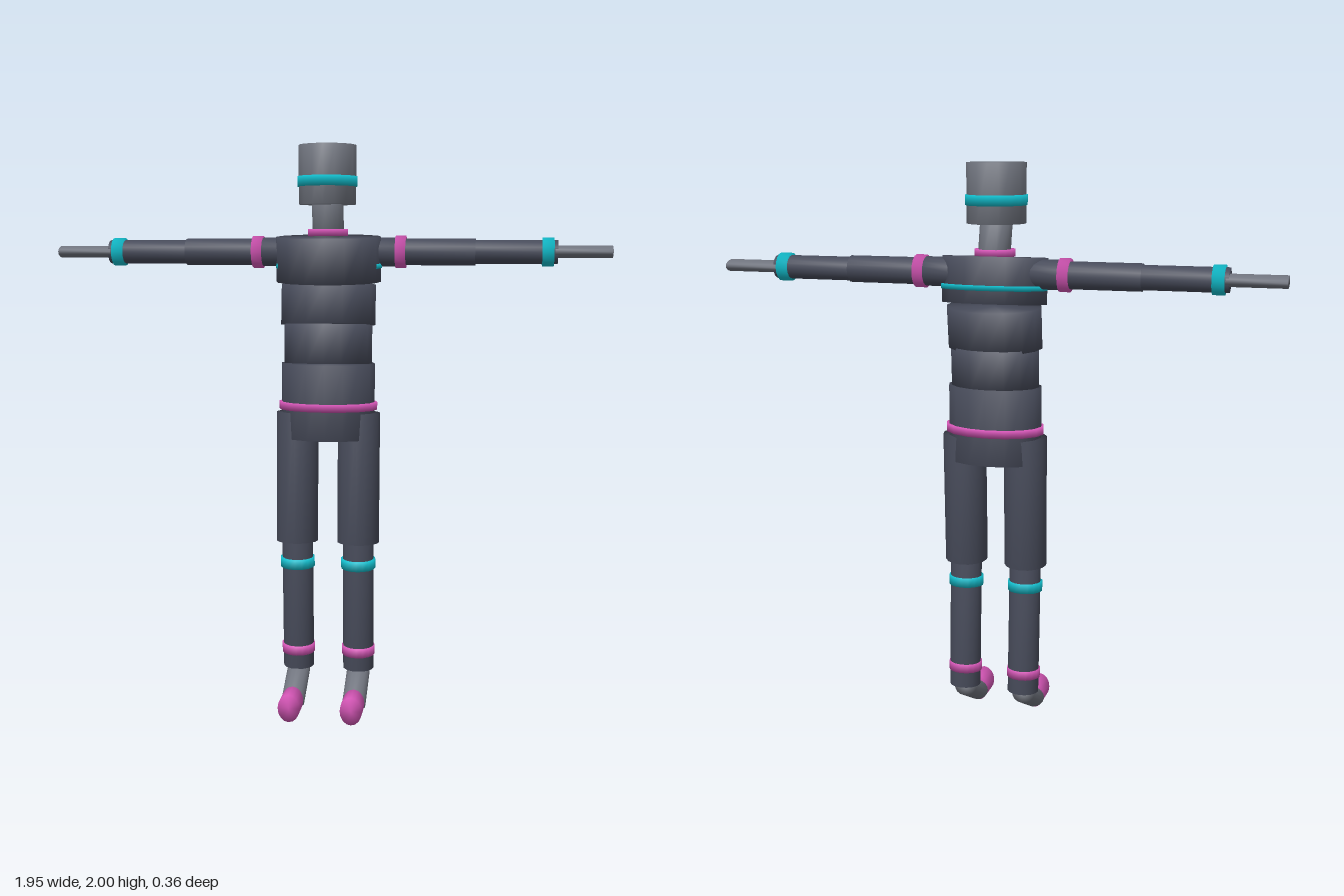
import * as THREE from 'three';
import { mergeVertices } from 'three/addons/utils/BufferGeometryUtils.js';

const material = (name, color) => {
  const m = new THREE.MeshStandardMaterial({ color });
  m.name = name;
  return m;
};

export function createModel() {
  const dark = material('dark suit', 0x474b5a);
  const grey = material('grey skin', 0x70747e);
  const cyan = material('cyan band', 0x12bccb);
  const pink = material('pink band', 0xd255b4);

  const model = new THREE.Group();
  model.name = 'figure';
  const up = new THREE.Vector3(0, 1, 0);

  // Elliptical cylinder from point a to point b, with normals shared across its rims
  function segment(name, mat, a, b, rx, rz, parent = model) {
    const from = new THREE.Vector3(...a);
    const to = new THREE.Vector3(...b);
    const axis = to.clone().sub(from);
    let geo = new THREE.CylinderGeometry(1, 1, axis.length(), 16);
    geo.scale(rx, 1, rz);
    geo.deleteAttribute('uv');
    geo.deleteAttribute('normal');
    geo = mergeVertices(geo);
    geo.computeVertexNormals();
    const mesh = new THREE.Mesh(geo, mat);
    mesh.name = name;
    mesh.position.copy(from).add(to).multiplyScalar(0.5);
    mesh.quaternion.setFromUnitVectors(up, axis.normalize());
    parent.add(mesh);
  }

  // Head and neck
  segment('head', grey, [0, 1.8, -0.02], [0, 2, -0.02], 0.1, 0.11);
  segment('headBand', cyan, [0, 1.86, -0.02], [0, 1.895, -0.02], 0.104, 0.114);
  segment('neck', grey, [0, 1.68, -0.05], [0, 1.805, -0.022], 0.055, 0.055);
  segment('collar', pink, [0, 1.692, -0.037], [0, 1.716, -0.037], 0.07, 0.066);

  // Torso
  segment('chest', dark, [0, 1.535, -0.05], [0, 1.69, -0.037], 0.185, 0.121);
  segment('chestStripe', cyan, [0, 1.582, -0.052], [0, 1.599, -0.051], 0.187, 0.124);
  segment('ribs', dark, [0, 1.385, -0.035], [0, 1.525, -0.052], 0.167, 0.108);
  segment('waist', dark, [0, 1.25, -0.033], [0, 1.388, -0.041], 0.156, 0.111);
  segment('pelvis', dark, [0, 0.985, -0.04], [0, 1.25, -0.037], 0.166, 0.11);
  segment('belt', pink, [0, 1.087, -0.04], [0, 1.114, -0.04], 0.175, 0.117);

  for (const s of [1, -1]) {
    const side = s > 0 ? 'left' : 'right';

    // Arm stretched out sideways
    const arm = new THREE.Group();
    arm.name = side + 'Arm';
    model.add(arm);
    const armPart = (name, mat, x0, x1, ry, rz) =>
      segment(name, mat, [s * x0, 1.638, -0.067], [s * x1, 1.638, -0.067], ry, rz, arm);
    armPart('shoulder', dark, 0.13, 0.24, 0.05, 0.05);
    armPart('shoulderBand', pink, 0.234, 0.27, 0.056, 0.055);
    armPart('upperArm', dark, 0.2, 0.51, 0.046, 0.047);
    armPart('forearm', dark, 0.5, 0.79, 0.041, 0.044);
    armPart('wristBand', cyan, 0.737, 0.777, 0.049, 0.051);
    armPart('hand', grey, 0.78, 0.973, 0.021, 0.048);

    // Leg and foot
    const leg = new THREE.Group();
    leg.name = side + 'Leg';
    leg.position.x = s * 0.11;
    model.add(leg);
    segment('thigh', dark, [0, 0.61, -0.027], [0, 1.075, -0.042], 0.075, 0.077, leg);
    segment('shin', dark, [0, 0.135, -0.055], [0, 0.61, -0.033], 0.056, 0.054, leg);
    segment('kneeBand', cyan, [0, 0.514, -0.034], [0, 0.548, -0.032], 0.062, 0.061, leg);
    segment('ankleBand', pink, [0, 0.19, -0.049], [0, 0.222, -0.047], 0.06, 0.059, leg);
    segment('foot', grey, [0, 0.12, -0.05], [0, 0.043, 0.088], 0.042, 0.036, leg);
    segment('toeCap', pink, [0, 0.05, 0.094], [0, 0.05, 0.18], 0.039, 0.05, leg);
  }
  return model;
}
